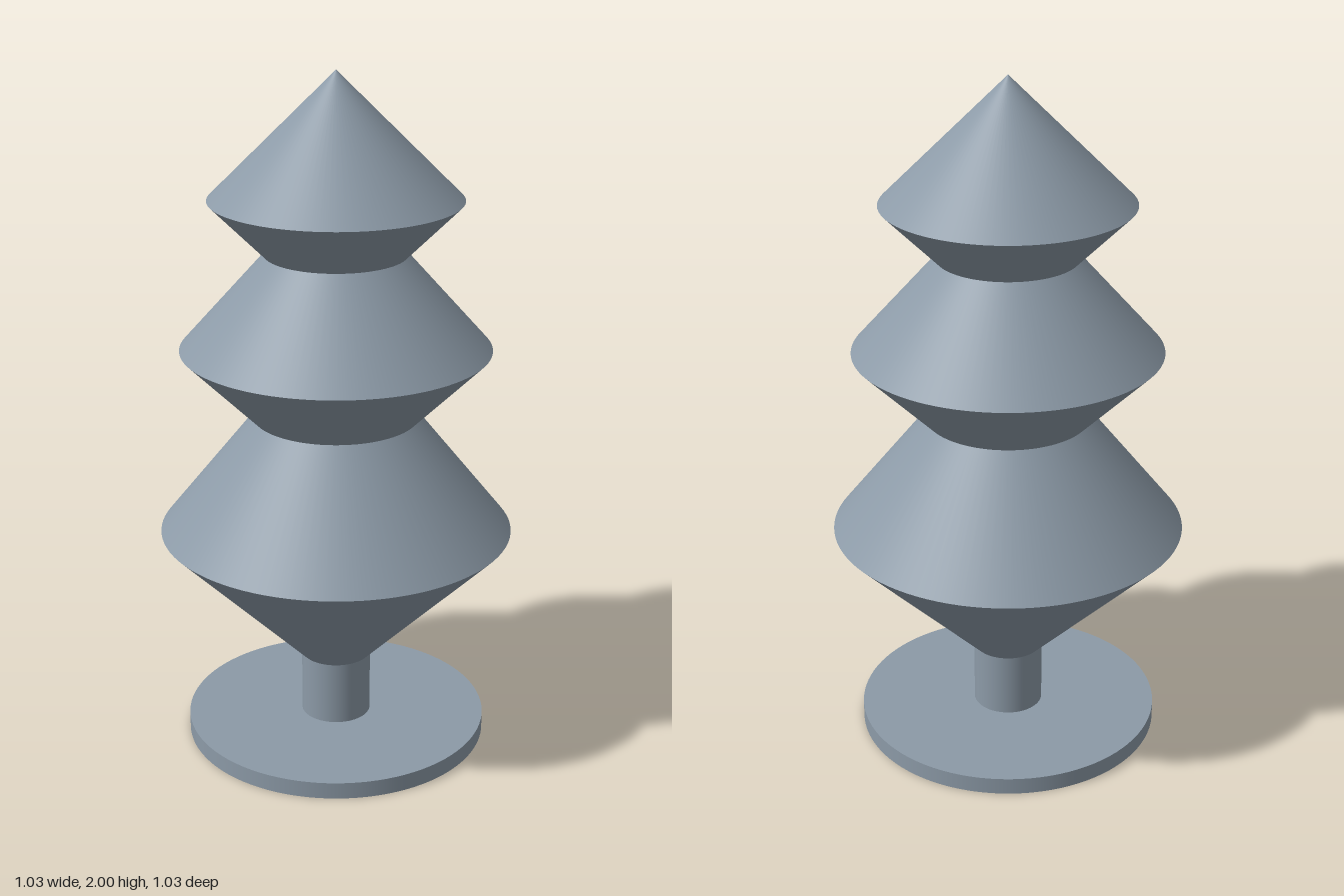
import * as THREE from 'three';

const SEGMENTS = 96;

export function createModel() {
  const model = new THREE.Group();
  model.name = 'stylisedTree';
  const blueGrey = new THREE.MeshStandardMaterial({ color: 0x8c9aa7 });
  blueGrey.name = 'blueGrey';

  // Round section between two heights; open sections join their neighbours
  function section(name, bottomRadius, topRadius, y0, y1, open, parent) {
    const geometry = new THREE.CylinderGeometry(topRadius, bottomRadius, y1 - y0, SEGMENTS, 1, open);
    const mesh = new THREE.Mesh(geometry, blueGrey);
    mesh.name = name;
    mesh.position.y = (y0 + y1) / 2;
    parent.add(mesh);
  }

  // Base disc and trunk
  section('base', 0.447, 0.447, 0, 0.05, false, model);
  section('trunk', 0.103, 0.103, 0.05, 0.243, true, model);

  // Foliage tiers: each flares out to a sharp rim, then tapers in
  const tiers = [
    { name: 'lowerTier', bottom: [0.103, 0.243], rim: [0.515, 0.658], top: [0.24, 1.003] },
    { name: 'middleTier', bottom: [0.24, 1.003], rim: [0.447, 1.21], top: [0.203, 1.485] },
    { name: 'upperTier', bottom: [0.203, 1.485], rim: [0.36, 1.642], top: [0, 2] },
  ];
  for (const { name, bottom, rim, top } of tiers) {
    const tier = new THREE.Group();
    tier.name = name;
    section(name + 'Underside', bottom[0], rim[0], bottom[1], rim[1], true, tier);
    section(name + 'Slope', rim[0], top[0], rim[1], top[1], true, tier);
    model.add(tier);
  }
  return model;
}
